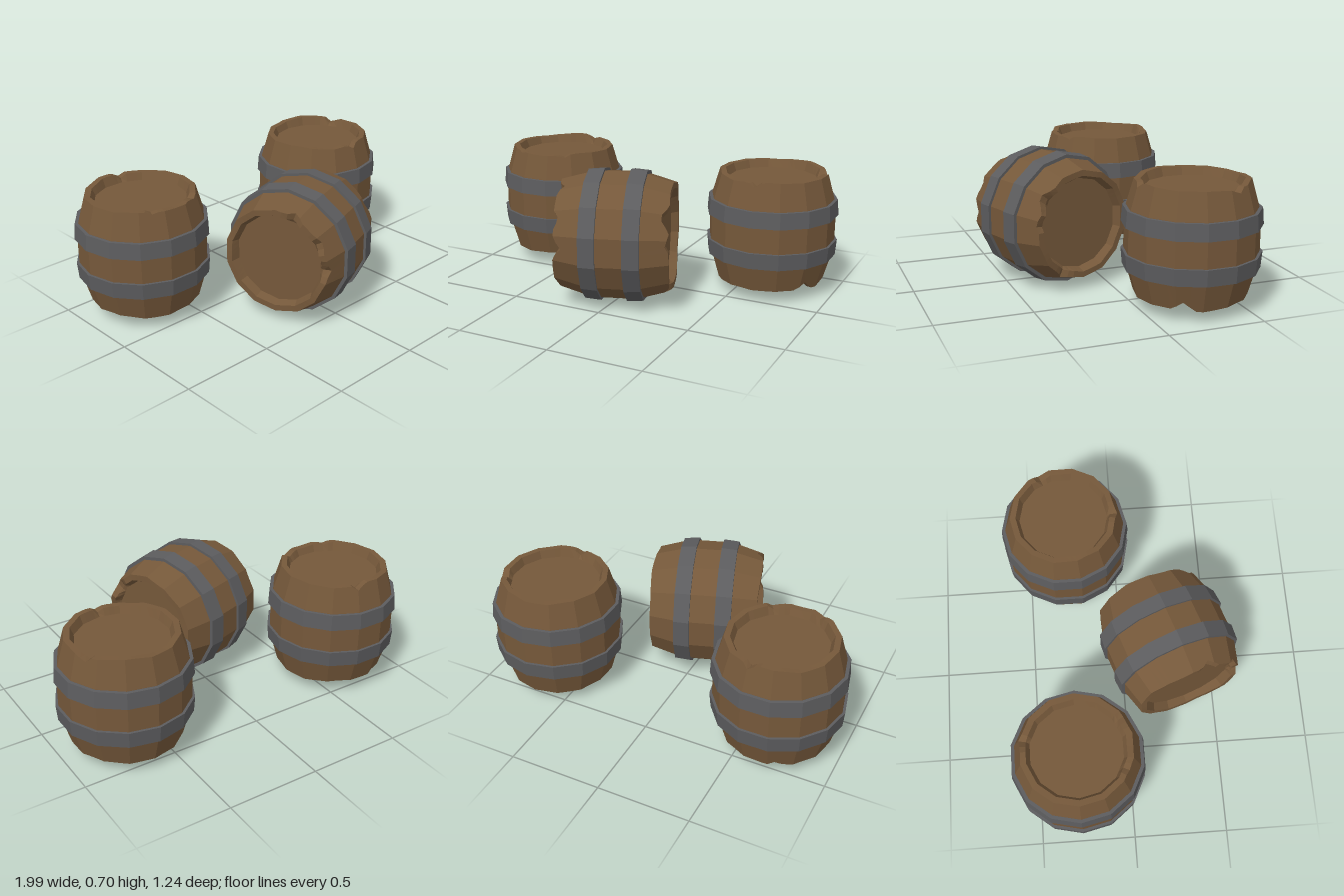
import * as THREE from 'three';

const SIDES = 14, SUB = 4;
const STEP = (Math.PI * 2) / SIDES;
const rad = THREE.MathUtils.degToRad;
const wood = new THREE.MeshStandardMaterial({ color: 0x75583a, flatShading: true });
const iron = new THREE.MeshStandardMaterial({ color: 0x5c5c5e, flatShading: true });
const points = (list) => list.map(([r, y]) => new THREE.Vector2(r, y));

// Stave body with recessed lids; each flat side is split so the rim can be chipped
function bodyGeometry(phase, chips, seed) {
  const half = [[0.337, 0.08], [0.326, 0.155], [0.287, 0.291], [0.256, 0.291], [0.238, 0.25], [0, 0.25]];
  const lower = half.map(([r, y]) => [r, -y]).reverse();
  const geo = new THREE.LatheGeometry(points([...lower, ...half]), SIDES * SUB, phase);
  const pos = geo.attributes.position;
  for (let i = 0; i < pos.count; i++) {
    let y = pos.getY(i);
    let r = Math.hypot(pos.getX(i), pos.getZ(i));
    if (r < 0.001) continue;
    const a = Math.atan2(pos.getX(i), pos.getZ(i));
    const end = Math.sign(y);

    // wavy, chipped rim
    if (Math.abs(y) > 0.28) {
      let cut = 0.004 * Math.sin(a * 3 + seed + end) + 0.003 * Math.sin(a * 5 + seed * 2);
      for (const [angle, chipEnd, depth, width] of chips) {
        if (chipEnd !== end) continue;
        const d = a - rad(angle);
        const gap = Math.abs(Math.atan2(Math.sin(d), Math.cos(d)));
        cut += depth * Math.max(0, 1 - gap / rad(width));
      }
      if (r < 0.27) cut = Math.min(cut, 0.034);
      else r += cut * 0.28;
      y -= end * cut;
    }

    // flatten each side onto its chord
    const t = (((a - phase) % STEP) + STEP) % STEP;
    r *= Math.cos(STEP / 2) / Math.cos(t - STEP / 2);
    pos.setXYZ(i, r * Math.sin(a), y, r * Math.cos(a));
  }
  return geo;
}

// Iron band, slightly wider toward the belly of the barrel
function hoopGeometry(phase, side) {
  let profile = [[0.32, 0.068], [0.351, 0.068], [0.344, 0.153], [0.315, 0.153], [0.32, 0.068]];
  if (side < 0) profile = profile.map(([r, y]) => [r, -y]).reverse();
  return new THREE.LatheGeometry(points(profile), SIDES, phase);
}

function makeBarrel(name, phase, seed, chips) {
  const barrel = new THREE.Group();
  barrel.name = name;
  const body = new THREE.Mesh(bodyGeometry(phase, chips, seed), wood);
  body.name = 'staves';
  barrel.add(body);
  for (const side of [-1, 1]) {
    const hoop = new THREE.Mesh(hoopGeometry(phase, side), iron);
    hoop.name = side > 0 ? 'upperHoop' : 'lowerHoop';
    barrel.add(hoop);
  }
  return barrel;
}

export function createModel() {
  const model = new THREE.Group();
  model.name = 'barrels';

  // chips: [angle from the front in degrees, end, depth, half width in degrees]
  const right = makeBarrel('rightStandingBarrel', STEP / 2, 0.5, [
    [168, 1, 0.03, 8], [31, 1, 0.02, 8], [-25, 1, 0.015, 8], [200, -1, 0.025, 8],
  ]);
  right.position.set(-0.65, 0.37, -0.273);

  const left = makeBarrel('leftStandingBarrel', 0, 2, [
    [0, 1, 0.025, 8], [114, 1, 0.03, 8], [58, -1, 0.045, 12], [-55, -1, 0.02, 10],
  ]);
  left.position.set(0.647, 0.36, -0.273);

  const fallen = makeBarrel('fallenBarrel', STEP / 2, 4, [
    [-35, 1, 0.05, 14], [-8, 1, 0.02, 8], [65, 1, 0.03, 8],
    [-70, -1, 0.035, 9], [0, -1, 0.04, 10], [-30, -1, 0.03, 9],
  ]);
  fallen.position.set(-0.012, 0.355, 0.25);
  fallen.rotation.set(0, 0.323, -Math.PI / 2);

  model.add(right, left, fallen);
  return model;
}
